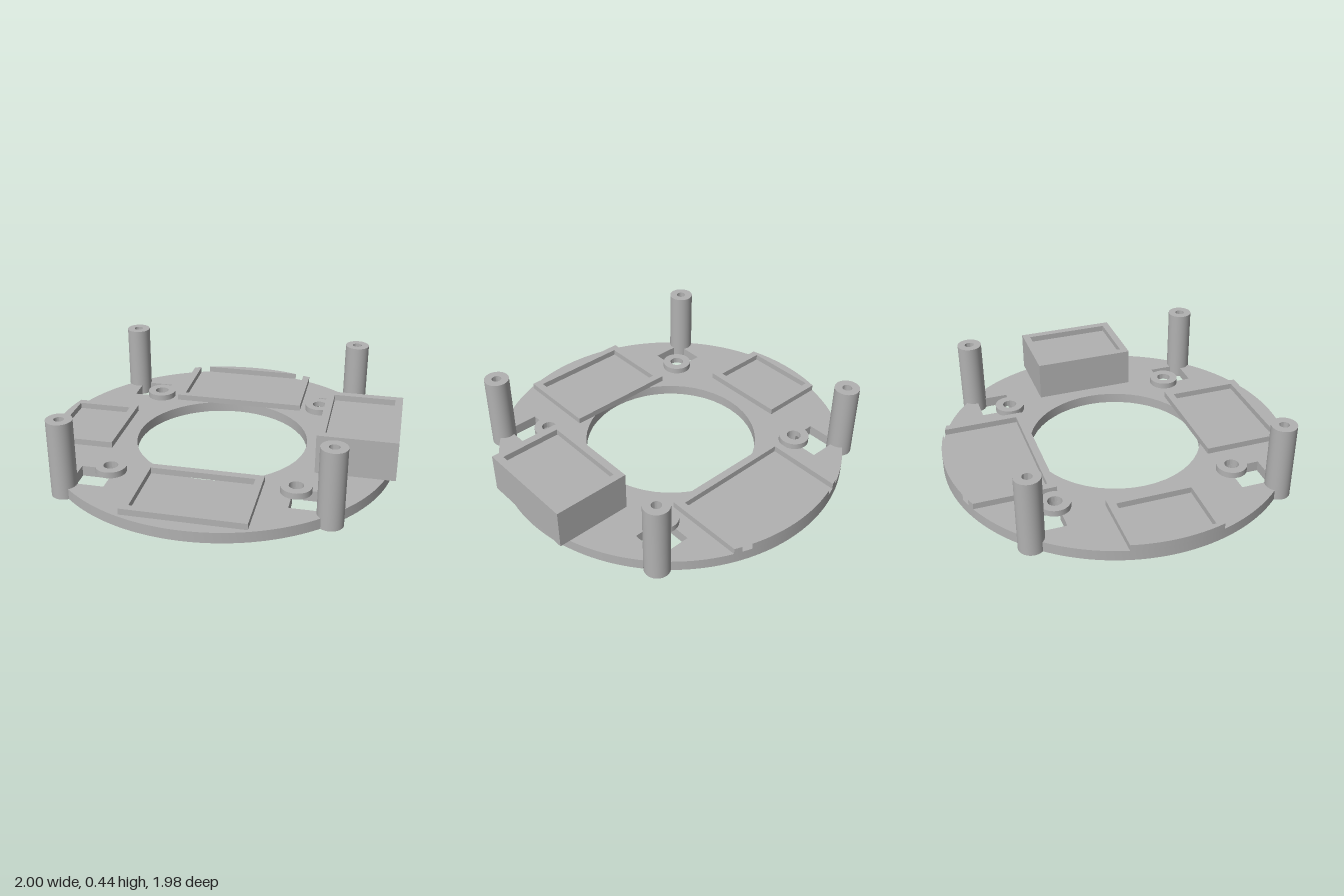
import * as THREE from 'three';
import { toCreasedNormals } from 'three/addons/utils/BufferGeometryUtils.js';

const R = 0.992, HOLE = 0.492, T = 0.06, RIM = 0.035;
const POST = { x: 0.703, z: 0.685, r: 0.07, h: 0.435 };
const BOSS = { c: 0.505, r: 0.085, hole: 0.04 };
const SQ = [0.489, 0.676]; // square cut-out, near and far side

export function createModel() {
  const root = new THREE.Group();
  root.name = 'mountingRing';
  root.position.set(-0.007, 0, -0.005);
  const grey = new THREE.MeshStandardMaterial({ color: 0xb2b2b2 });
  grey.name = 'plain grey';

  const add = (name, geo, x = 0, y = 0, z = 0) => {
    const mesh = new THREE.Mesh(toCreasedNormals(geo, 0.5), grey);
    mesh.name = name;
    mesh.position.set(x, y, z);
    root.add(mesh);
  };
  // shapes are drawn in (x, z) and extruded upward from y
  const slab = (name, shape, y, h) => {
    const geo = new THREE.ExtrudeGeometry(shape, { depth: h, bevelEnabled: false, curveSegments: 24 });
    geo.rotateX(Math.PI / 2).translate(0, y + h, 0);
    add(name, geo);
  };
  const poly = (pts) => new THREE.Shape(pts.map(([x, z]) => new THREE.Vector2(x, z)));
  const rect = (x0, x1, z0, z1) => poly([[x0, z0], [x1, z0], [x1, z1], [x0, z1]]);
  const lathe = (pts) => new THREE.LatheGeometry(pts.map(([x, y]) => new THREE.Vector2(x, y)), 40);
  const arc = (cx, cz, r, a0, a1, n) => Array.from({ length: n + 1 }, (_, i) => {
    const a = a0 + (a1 - a0) * i / n;
    return [cx + r * Math.cos(a), cz + r * Math.sin(a)];
  });

  // one quarter of the plate outline, cut by the post, the square and the boss hole
  const mid = Math.atan2(POST.z, POST.x), d = Math.hypot(POST.x, POST.z);
  const half = Math.acos((d * d + R * R - POST.r ** 2) / (2 * d * R));
  const postAngle = (a) => Math.atan2(R * Math.sin(a) - POST.z, R * Math.cos(a) - POST.x);
  const [near, far] = SQ;
  const inA = -Math.acos((far - POST.x) / POST.r);
  const inB = -Math.PI - Math.asin((far - POST.z) / POST.r);
  const dip = Math.asin((near - BOSS.c) / BOSS.hole);
  const quarter = [
    ...arc(0, 0, R, 0, mid - half, 20),
    ...arc(POST.x, POST.z, POST.r, postAngle(mid - half), inA, 8),
    [far, near],
    ...arc(BOSS.c, BOSS.c, BOSS.hole, dip, -Math.PI * 1.5 - dip, 20),
    [near, far],
    ...arc(POST.x, POST.z, POST.r, inB, postAngle(mid + half) - 2 * Math.PI, 8),
    ...arc(0, 0, R, mid + half, Math.PI / 2, 20),
  ];
  const mirror = (sx, sz) => {
    const pts = quarter.map(([x, z]) => [x * sx, z * sz]);
    return (sx * sz < 0 ? pts.reverse() : pts).slice(0, -1);
  };
  const plate = poly([...mirror(1, 1), ...mirror(-1, 1), ...mirror(-1, -1), ...mirror(1, -1)]);
  plate.holes.push(new THREE.Path().absarc(0, 0, HOLE, 0, Math.PI * 2, true));
  slab('basePlate', plate, 0, T);

  // hollow posts with a wider bore at the foot, and screw bosses
  for (const sx of [-1, 1]) for (const sz of [-1, 1]) {
    add('post', lathe([[0.048, 0], [POST.r, 0], [POST.r, POST.h], [0.027, POST.h],
      [0.027, T], [0.048, T], [0.048, 0]]), sx * POST.x, 0, sz * POST.z);
    add('screwBoss', lathe([[BOSS.hole, 0], [BOSS.r, 0], [BOSS.r, RIM], [BOSS.hole, RIM],
      [BOSS.hole, 0]]), sx * BOSS.c, T, sz * BOSS.c);
  }

  // front tray rim
  const front = rect(-0.329, 0.329, 0.443, 0.919);
  front.holes.push(rect(-0.286, 0.286, 0.486, 0.877));
  slab('frontTrayRim', front, T, RIM);

  // right tray rim, trimmed to the edge of the disc
  const a = Math.asin(0.254 / R);
  const side = new THREE.Shape();
  side.moveTo(-0.586, -0.254).lineTo(-0.586, 0.254);
  side.absarc(0, 0, R, Math.PI - a, Math.PI + a, false);
  side.holes.push(rect(-0.945, -0.629, -0.211, 0.211));
  slab('rightTrayRim', side, T, RIM);

  // back tray rim: the disc edge opens its two outer corners
  const q = -Math.PI / 2, o = Math.asin(0.39 / R), i = Math.asin(0.348 / R);
  const back = new THREE.Shape();
  back.moveTo(0.39, -0.46).lineTo(-0.39, -0.46);
  back.absarc(0, 0, R, q - o, q - i, false);
  back.lineTo(-0.348, -0.503).lineTo(0.348, -0.503);
  back.absarc(0, 0, R, q + i, q + o, false);
  slab('backTrayRim', back, T, RIM);
  const s = Math.acos(0.947 / R);
  slab('backTrayEdge', new THREE.Shape().absarc(0, 0, R, q - s, q + s, false), T, RIM);

  // tall block with a shallow tray in its top
  const blockTop = 0.285, floor = blockTop - RIM;
  slab('leftBlock', rect(0.574, 1.007, -0.291, 0.291), T, floor - T);
  const rim = rect(0.574, 1.007, -0.291, 0.291);
  rim.holes.push(rect(0.617, 0.964, -0.248, 0.248));
  slab('leftBlockRim', rim, floor, RIM);

  const group = new THREE.Group();
  group.add(root);
  return group;
}
